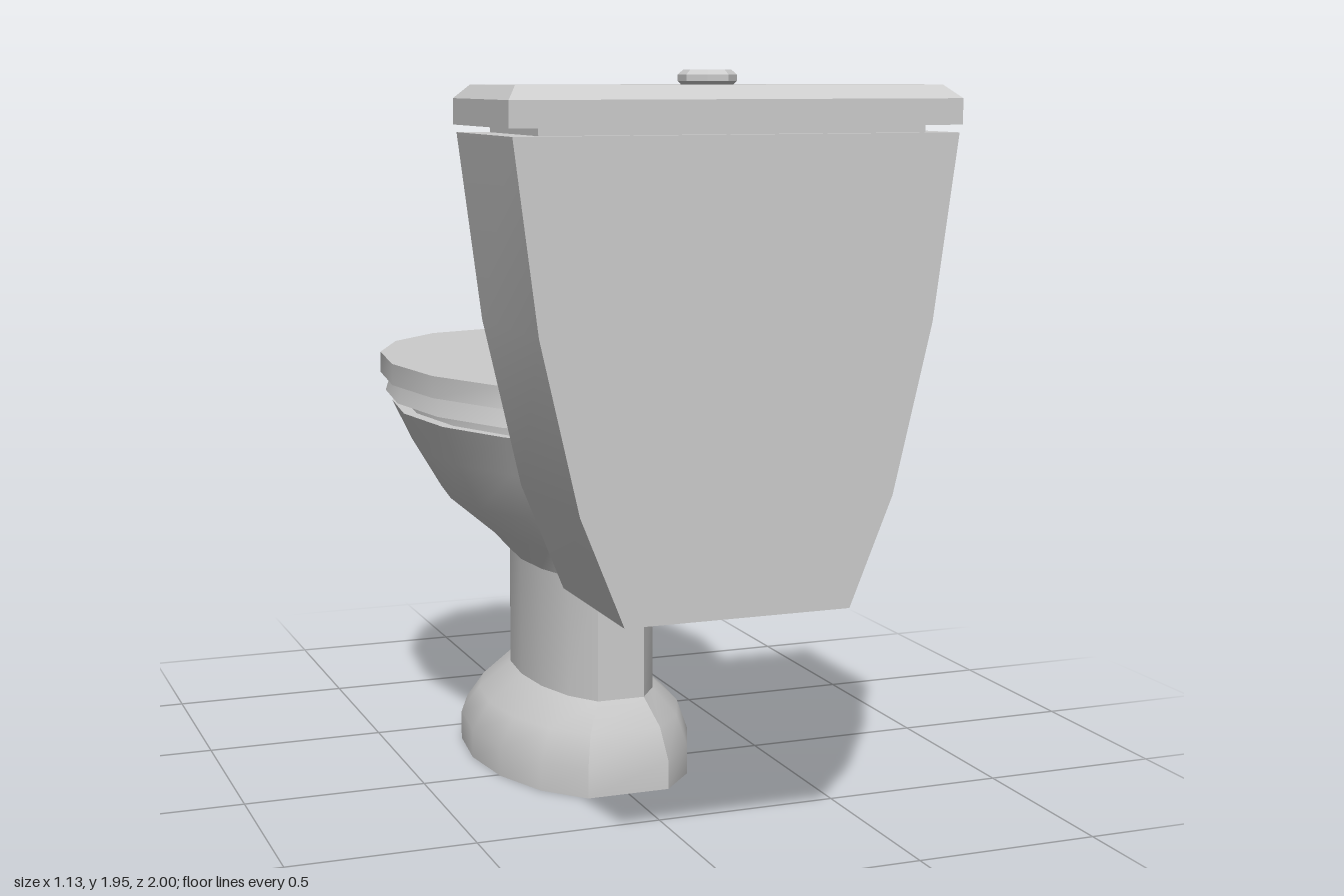
import * as THREE from 'three';
import { toCreasedNormals } from 'three/addons/utils/BufferGeometryUtils.js';

const material = new THREE.MeshStandardMaterial({ color: 0xcccccc });

// Closed solid through rings of points, listed bottom to top
function loft(rings, crease = 0.6) {
  const n = rings[0].length;
  const index = [];
  for (let r = 0; r < rings.length - 1; r++) {
    for (let i = 0; i < n; i++) {
      const a = r * n + i, b = r * n + (i + 1) % n;
      index.push(a, b, b + n, a, b + n, a + n);
    }
  }
  const top = (rings.length - 1) * n;
  for (let i = 1; i < n - 1; i++) {
    index.push(0, i + 1, i, top, top + i, top + i + 1);
  }
  const geometry = new THREE.BufferGeometry();
  geometry.setAttribute('position', new THREE.Float32BufferAttribute(rings.flat(2), 3));
  geometry.setIndex(index);
  return toCreasedNormals(geometry, crease);
}

// Sixteen-sided oval with its rear corner cut off flat
function oval([y, halfWidth, back, front, backShift = 0]) {
  const cut = Math.cos(Math.PI / 8);
  const radius = (back - front) / (1 + cut);
  const centre = front + radius;
  const points = [];
  for (let i = 1; i < 16; i++) {
    const a = i * Math.PI / 8;
    const shift = i === 1 || i === 15 ? backShift : 0;
    points.push([halfWidth * Math.sin(a), y, centre + radius * Math.cos(a) + shift]);
  }
  return points;
}

function rectangle([y, halfWidth, z0, z1]) {
  return [[halfWidth, y, z1], [halfWidth, y, z0], [-halfWidth, y, z0], [-halfWidth, y, z1]];
}

export function createModel() {
  const group = new THREE.Group();
  const add = (name, geometry) => {
    const mesh = new THREE.Mesh(geometry, material);
    mesh.name = name;
    group.add(mesh);
    return mesh;
  };

  // Foot, column and bowl: rings of y, half width, rear z, front z
  add('foot', loft([
    [0, 0.305, 0.275, -0.67],
    [0.08, 0.305, 0.275, -0.67],
    [0.17, 0.265, 0.25, -0.57],
    [0.25, 0.175, 0.215, -0.49],
  ].map(oval)));
  add('column', loft([
    [0.25, 0.175, 0.215, -0.49],
    [0.585, 0.175, 0.215, -0.49],
  ].map(oval)));
  add('bowl', loft([
    [0.585, 0.175, 0.215, -0.49],
    [0.665, 0.25, 0.215, -0.51],
    [0.76, 0.36, 0.265, -0.68],
    [0.89, 0.43, 0.335, -0.83],
    [1.0, 0.48, 0.4, -0.92],
  ].map(oval)));

  // Seat and closed cover
  add('seatSpacer', loft([
    [1.0, 0.445, 0.375, -0.88],
    [1.025, 0.445, 0.375, -0.88],
  ].map(oval)));
  add('seat', loft([
    [1.025, 0.49, 0.395, -0.975],
    [1.075, 0.475, 0.38, -0.955],
  ].map(oval)));
  add('seatCover', loft([
    [1.075, 0.5, 0.388, -1, 0.035],
    [1.135, 0.5, 0.388, -1],
  ].map(oval)));

  // Bridge between bowl and tank
  add('bridge', loft([
    [0.665, 0.12, 0.15, 0.57],
    [0.83, 0.17, 0.15, 0.57],
    [1.0, 0.183, 0.15, 0.57],
  ].map(rectangle), 0.3));

  // Tank, narrowing downward
  add('tank', loft([
    [0.665, 0.29, 0.57, 1],
    [0.935, 0.4, 0.57, 1],
    [1.35, 0.497, 0.57, 1],
    [1.8, 0.557, 0.57, 1],
  ].map(rectangle), 0.3));
  add('tankNeck', loft([
    [1.8, 0.485, 0.605, 0.965],
    [1.82, 0.485, 0.605, 0.965],
  ].map(rectangle), 0.3));
  add('tankLid', loft([
    [1.818, 0.565, 0.57, 1],
    [1.88, 0.565, 0.57, 1],
    [1.912, 0.535, 0.61, 0.953],
  ].map(rectangle), 0.3));

  // Flush button
  const profile = [[0, 1.91], [0.06, 1.91], [0.07, 1.92], [0.07, 1.935], [0.057, 1.947], [0, 1.947]];
  const button = new THREE.LatheGeometry(profile.map(([r, y]) => new THREE.Vector2(r, y)), 8, Math.PI / 8);
  add('flushButton', toCreasedNormals(button, 0.3)).position.z = 0.78;

  return group;
}
